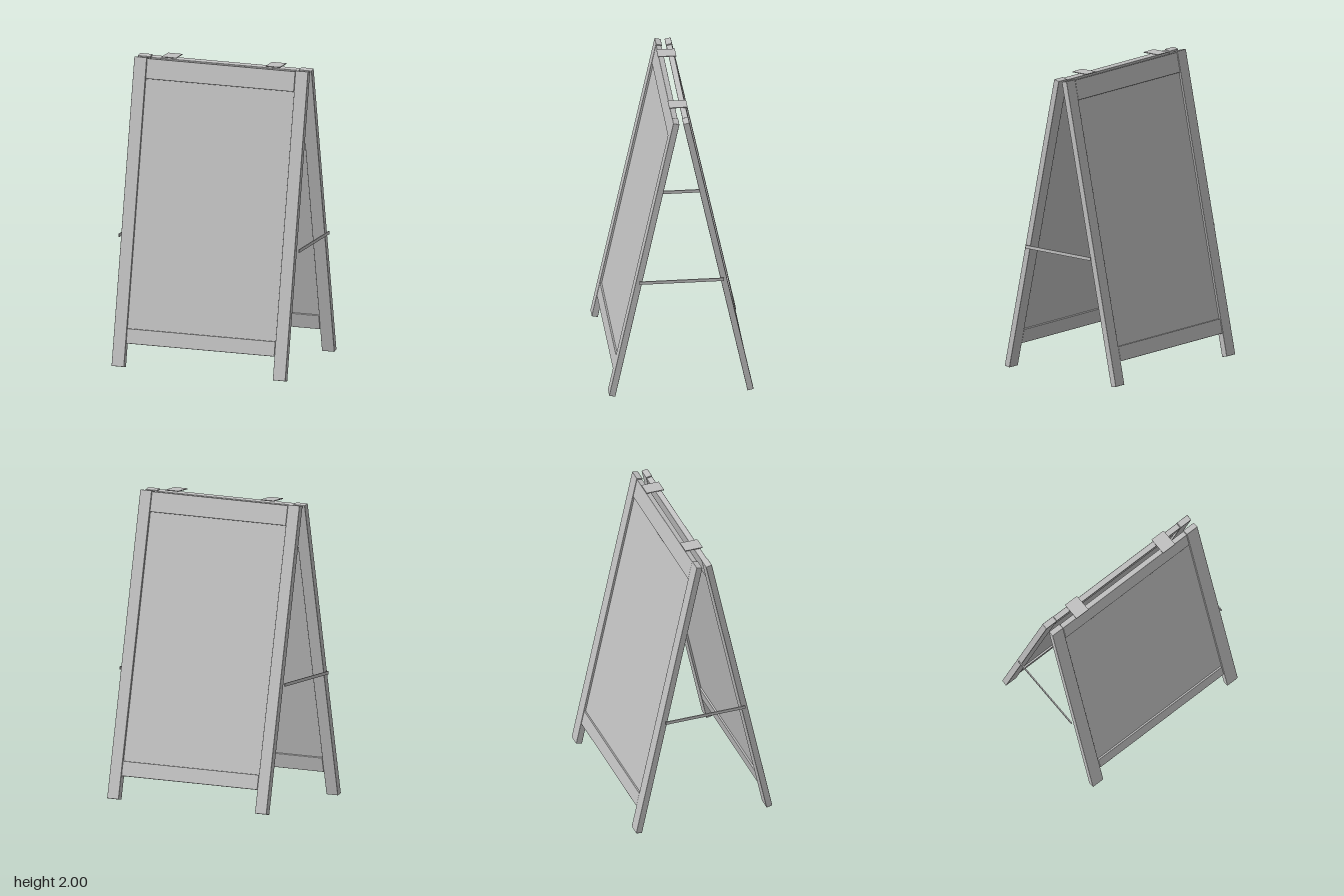
import * as THREE from 'three';
import { RoundedBoxGeometry } from 'three/addons/geometries/RoundedBoxGeometry.js';

const TILT = THREE.MathUtils.degToRad(12);

export function createModel() {
  const model = new THREE.Group();
  model.name = 'sandwichBoard';
  const grey = new THREE.MeshStandardMaterial({ color: 0xc0c0c0 });
  grey.name = 'plain grey';

  function addMesh(parent, name, geometry, x, y, z) {
    const mesh = new THREE.Mesh(geometry, grey);
    mesh.name = name;
    mesh.position.set(x, y, z);
    parent.add(mesh);
  }
  // Timber with slightly eased edges
  const timber = (w, h, d) => new RoundedBoxGeometry(w, h, d, 1, 0.003);

  // One framed leaf, upright around its own centre, outer face towards +z
  function createLeaf(name) {
    const leaf = new THREE.Group();
    leaf.name = name;
    for (const [side, s] of [['left', 1], ['right', -1]]) {
      addMesh(leaf, side + 'Stile', timber(0.087, 2.02, 0.0414), s * 0.5605, 0, 0);
    }
    addMesh(leaf, 'topRail', timber(1.03, 0.133, 0.038), 0, 0.938, 0);
    addMesh(leaf, 'bottomRail', timber(1.03, 0.098, 0.038), 0, -0.807, 0);
    addMesh(leaf, 'panel', new THREE.BoxGeometry(1.036, 1.67, 0.014), 0, 0.057, 0);
    return leaf;
  }

  // Two leaves leaning together at the top
  for (const [name, turn] of [['frontLeaf', 0], ['backLeaf', Math.PI]]) {
    const half = new THREE.Group();
    half.name = name + 'Half';
    half.rotation.y = turn;
    const leaf = createLeaf(name);
    leaf.position.set(0, 0.992, 0.2423);
    leaf.rotation.x = -TILT;
    half.add(leaf);
    model.add(half);
  }

  // Hinge plates across the top and spreader bars outside the stiles
  for (const [side, s] of [['left', 1], ['right', -1]]) {
    addMesh(model, side + 'Hinge', new THREE.BoxGeometry(0.1, 0.005, 0.12), s * 0.361, 1.9975, 0);
    addMesh(model, side + 'Spreader', new THREE.BoxGeometry(0.007, 0.021, 0.55), s * 0.6245, 0.836, 0);
  }
  return model;
}
